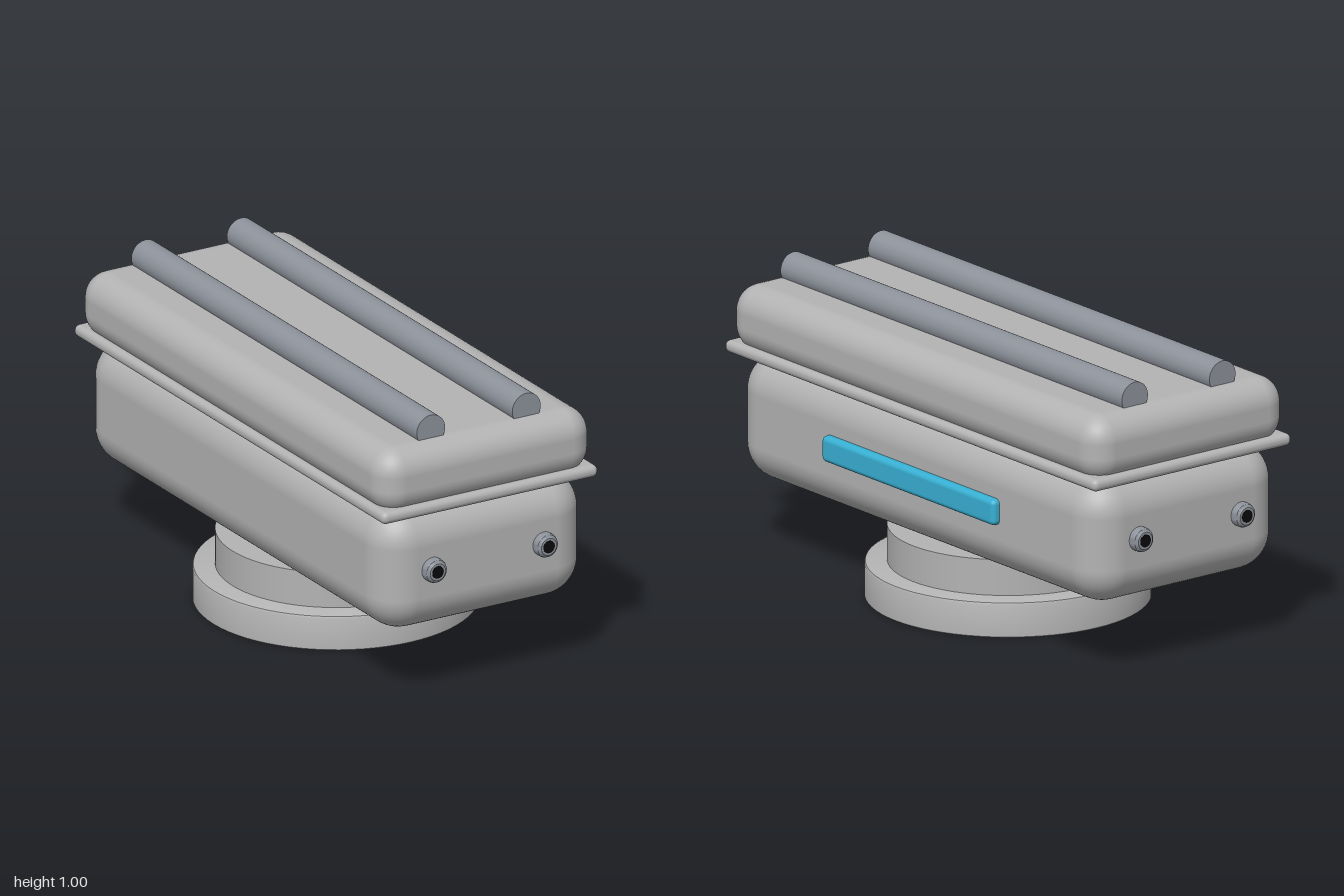
import * as THREE from 'three';
import { RoundedBoxGeometry } from 'three/addons/geometries/RoundedBoxGeometry.js';
import { toCreasedNormals } from 'three/addons/utils/BufferGeometryUtils.js';

export function createModel() {
  const model = new THREE.Group();
  model.name = 'caseOnPedestal';

  const material = (name, color) => {
    const m = new THREE.MeshStandardMaterial({ color });
    m.name = name;
    return m;
  };
  const casing = material('casingGrey', 0xb3b3b3);
  const steel = material('steelGrey', 0x8d929b);
  const blue = material('panelBlue', 0x38b0d3);
  const black = material('socketBlack', 0x0a0a0a);

  const add = (name, geometry, mat, x = 0, y = 0, z = 0, parent = model) => {
    const mesh = new THREE.Mesh(geometry, mat);
    mesh.name = name;
    mesh.position.set(x, y, z);
    parent.add(mesh);
    return mesh;
  };
  // Rounded block given by its half width, bottom, top and half length
  const block = (name, hx, y0, y1, hz, radius, mat, x = 0) =>
    add(name, new RoundedBoxGeometry(2 * hx, y1 - y0, 2 * hz, 6, radius), mat, x, (y0 + y1) / 2, 0);
  const lathe = (points, segments) => toCreasedNormals(
    new THREE.LatheGeometry(points.map(([r, y]) => new THREE.Vector2(r, y)), segments), 0.6);

  // Pedestal: wide foot and narrower neck
  add('foot', lathe([[0, 0], [0.471, 0], [0.475, 0.004], [0.475, 0.114], [0.472, 0.121],
    [0.465, 0.124], [0, 0.124]], 72), casing);
  add('neck', new THREE.CylinderGeometry(0.4, 0.4, 0.128, 72), casing, 0, 0.184, 0);

  // Case: body, rim and lid
  block('body', 0.4, 0.25, 0.69, 0.965, 0.13, casing);
  block('rim', 0.418, 0.679, 0.722, 0.985, 0.02, casing);
  block('lid', 0.413, 0.69, 0.92, 0.98, 0.09, casing);

  // Coloured bar on the left side
  block('sidePanel', 0.03, 0.433, 0.523, 0.457, 0.018, blue, 0.398);

  // Two rails along the lid
  const rail = new THREE.CylinderGeometry(0.055, 0.055, 1.81, 40).rotateX(Math.PI / 2);
  for (const side of [-1, 1]) add('rail', rail, steel, side * 0.185, 0.945, 0);

  // Sockets on both ends: stepped collar with a black centre
  const collar = lathe([[0, -0.02], [0.042, -0.02], [0.042, 0.018], [0.039, 0.026],
    [0.032, 0.03], [0.03, 0.034], [0.022, 0.034], [0, 0.034]], 32).rotateX(Math.PI / 2);
  const hole = new THREE.CylinderGeometry(0.022, 0.022, 0.002, 24).rotateX(Math.PI / 2);
  for (const end of [-1, 1]) {
    for (const side of [-1, 1]) {
      const socket = new THREE.Group();
      socket.name = 'socket';
      socket.position.set(side * 0.215, 0.478, end * 0.965);
      if (end < 0) socket.rotation.y = Math.PI;
      add('collar', collar, steel, 0, 0, 0, socket);
      add('socketCentre', hole, black, 0, 0, 0.034, socket);
      model.add(socket);
    }
  }
  return model;
}
